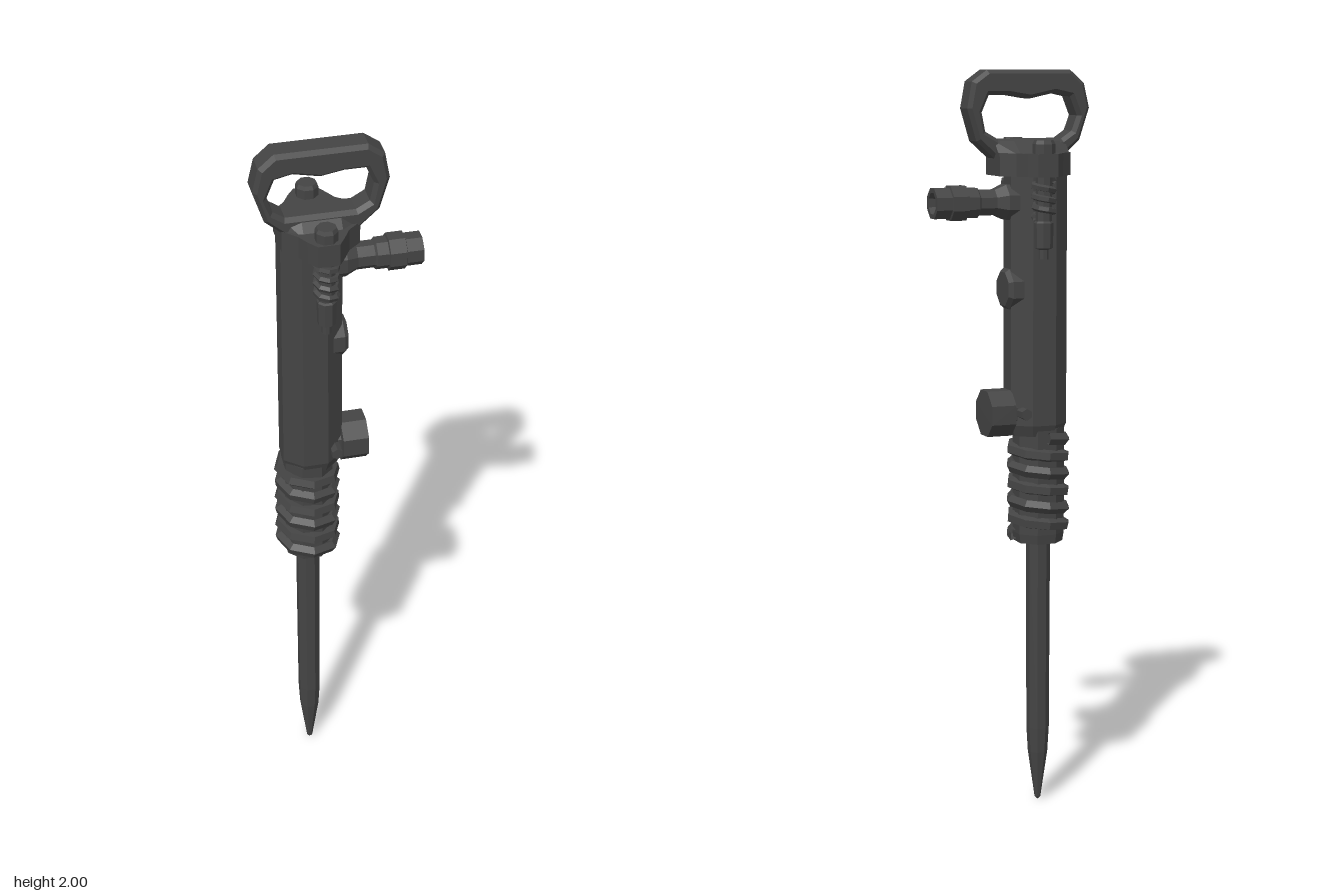
import * as THREE from 'three';

const metal = new THREE.MeshStandardMaterial({ color: 0x444444, flatShading: true, side: THREE.DoubleSide });
const TOOL_X = -0.08; // axis of chisel and retainer spring
const BOLT_X = -0.05; // axis of the two cap bolts

// Rising coil that turns around a vertical axis
class Coil extends THREE.Curve {
  constructor(radius, bottom, top, turns) {
    super();
    Object.assign(this, { radius, bottom, top, turns });
  }
  getPoint(t, target = new THREE.Vector3()) {
    const a = t * this.turns * Math.PI * 2;
    return target.set(this.radius * Math.cos(a), this.bottom + (this.top - this.bottom) * t, this.radius * Math.sin(a));
  }
}

function add(parent, name, geometry, x = 0, y = 0, z = 0) {
  const mesh = new THREE.Mesh(geometry, metal);
  mesh.name = name;
  mesh.position.set(x, y, z);
  parent.add(mesh);
  return mesh;
}

// Turned solid from [radius, height] pairs, with a flat facing each axis
function turned(profile, sides = 8) {
  return new THREE.LatheGeometry(profile.map(([r, y]) => new THREE.Vector2(r, y)), sides, Math.PI / sides);
}

// Turned solid lying along +x
const turnedX = (profile, sides) => turned(profile, sides).rotateZ(-Math.PI / 2);

const points = (list) => list.map(([x, y]) => new THREE.Vector2(x, y));

function coil(radius, bottom, top, turns, wire) {
  return new THREE.TubeGeometry(new Coil(radius, bottom, top, turns), Math.round(turns * 8), wire, 5);
}

export function createModel() {
  const model = new THREE.Group();
  model.name = 'pneumaticHammer';

  // Chisel with a tapered point
  add(model, 'chisel', turned([[0, 0], [0.008, 0.008], [0.027, 0.14], [0.031, 0.21], [0.033, 0.75], [0, 0.75]]), TOOL_X);

  // Retainer spring around its sleeve
  const retainer = new THREE.Group();
  retainer.name = 'retainer';
  retainer.position.x = TOOL_X;
  model.add(retainer);
  add(retainer, 'retainerSleeve', turned([[0, 0.735], [0.066, 0.735], [0.07, 0.76], [0.07, 1.05], [0, 1.05]]));
  add(retainer, 'retainerSpring', coil(0.074, 0.755, 1.025, 5.75, 0.017));

  // Octagonal barrel
  const barrel = turned([[0, 1.03], [0.07, 1.03], [0.082, 1.06], [0.082, 1.73], [0, 1.73]]);
  barrel.scale(1.05, 1, 0.92);
  add(model, 'barrel', barrel, -0.07);

  // Cap plate with two bolt lugs and a saddle under the handle
  const half = [[0.05, 0.05], [0.015, 0.08], [-0.005, 0.115], [-0.022, 0.142], [-0.078, 0.142],
    [-0.098, 0.115], [-0.115, 0.085], [-0.15, 0.05]];
  const outline = [...half, ...half.map(([x, z]) => [x, -z]).reverse()];
  const cap = new THREE.ExtrudeGeometry(new THREE.Shape(points(outline)), { depth: 0.06, bevelEnabled: false });
  add(model, 'cap', cap.rotateX(Math.PI / 2), 0, 1.785);
  const saddle = new THREE.ExtrudeGeometry(
    new THREE.Shape(points([[0.05, 0.05], [0.0, 0.085], [-0.1, 0.085], [-0.15, 0.05],
      [-0.15, -0.05], [-0.1, -0.085], [0.0, -0.085], [0.05, -0.05]])),
    { depth: 0.04, bevelEnabled: false }).rotateX(Math.PI / 2);
  const p = saddle.attributes.position;
  for (let i = 0; i < p.count; i++) if (p.getY(i) > -0.01) p.setZ(i, p.getZ(i) * 0.45 + 0.012);
  add(model, 'saddle', saddle, 0, 1.815);

  // D-shaped grip handle
  const handleShape = new THREE.Shape(points([[-0.165, 2], [-0.205, 1.965], [-0.22, 1.9], [-0.192, 1.815], [-0.14, 1.77],
    [0.05, 1.77], [0.1, 1.815], [0.125, 1.9], [0.112, 1.97], [0.07, 2]]));
  handleShape.holes.push(new THREE.Path(points([[-0.165, 1.93], [-0.12, 1.94], [-0.05, 1.925], [0.01, 1.935], [0.065, 1.935],
    [0.085, 1.89], [0.075, 1.84], [0.04, 1.82], [-0.14, 1.82], [-0.17, 1.84], [-0.185, 1.88]])));
  const handle = new THREE.ExtrudeGeometry(handleShape,
    { depth: 0.054, bevelThickness: 0.012, bevelSize: 0.01, bevelOffset: -0.01, bevelSegments: 1 });
  add(model, 'handle', handle, 0, 0, -0.009);

  // Sprung cap bolts and barrel pins on both sides
  for (const side of [1, -1]) {
    const bolt = new THREE.Group();
    bolt.name = side > 0 ? 'frontCapBolt' : 'backCapBolt';
    bolt.position.set(BOLT_X, 0, 0.11 * side);
    model.add(bolt);
    add(bolt, 'boltHead', turned([[0, 1.78], [0.03, 1.78], [0.03, 1.81], [0.025, 1.82], [0, 1.82]]));
    add(bolt, 'boltShank', turned([[0, 1.51], [0.013, 1.51], [0.013, 1.535], [0.024, 1.54], [0.026, 1.605],
      [0.022, 1.61], [0.022, 1.73], [0, 1.73]]));
    add(bolt, 'boltSpring', coil(0.027, 1.62, 1.715, 3.5, 0.009));
    const pin = new THREE.CylinderGeometry(0.016, 0.016, 0.04, 6).rotateX(Math.PI / 2);
    add(model, 'barrelPin', pin, -0.015, 1.095, 0.062 * side);
  }

  // Air inlet with a hollow hose coupling
  add(model, 'airInlet', turnedX([[0, -0.03], [0.05, -0.03], [0.05, 0.02], [0.036, 0.05], [0.036, 0.095], [0.042, 0.1],
    [0.042, 0.13], [0.049, 0.132], [0.049, 0.175], [0.043, 0.177], [0.043, 0.22], [0.03, 0.22], [0.026, 0.18], [0, 0.18]]),
  0, 1.655);

  // Plugs on the side of the barrel
  add(model, 'upperPlug', turnedX([[0, -0.03], [0.058, -0.03], [0.058, 0.012], [0.048, 0.023], [0, 0.023]]), 0, 1.425);
  add(model, 'exhaustPlug', turnedX([[0, -0.03], [0.045, -0.03], [0.045, 0.005], [0.066, 0.007], [0.066, 0.076], [0, 0.078]]),
    0, 1.093);

  return model;
}
